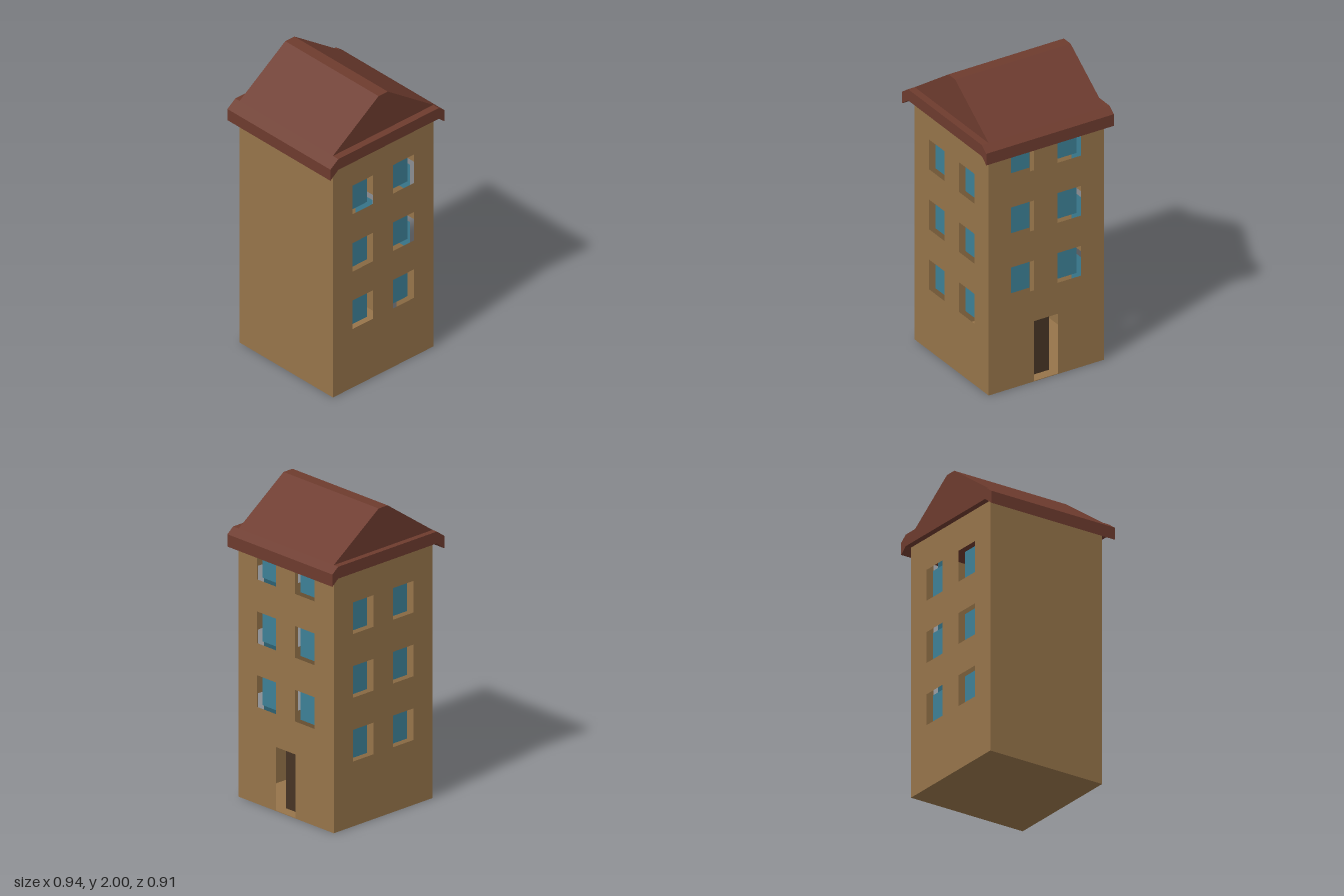
import * as THREE from 'three';

const mat = (name, color) => {
  const m = new THREE.MeshStandardMaterial({ color, side: THREE.DoubleSide });
  m.name = name;
  return m;
};

const polygon = (points) => new THREE.Shape(points.map(([x, y]) => new THREE.Vector2(x, y)));
const rect = (x0, x1, y0, y1) => [[x0, y0], [x1, y0], [x1, y1], [x0, y1]];

export function createModel() {
  const wallMat = mat('ochre wall', 0x96744a);
  const roofMat = mat('red brown roof', 0x6d3b2e);
  const glassMat = mat('blue glass', 0x3d8096);
  const doorMat = mat('dark door', 0x463424);
  const house = new THREE.Group();
  house.name = 'house';

  const X0 = -0.405, X1 = 0.42, Z0 = -0.42, Z1 = 0.405, TOP = 1.66;

  function add(parent, name, geometry, material) {
    const mesh = new THREE.Mesh(geometry, material);
    mesh.name = name;
    parent.add(mesh);
    return mesh;
  }

  // One thin wall with openings; each opening has a narrower panel set behind it
  function wall(name, u0, u1, openings) {
    const group = new THREE.Group();
    group.name = name;
    const shape = polygon(rect(u0, u1, 0, TOP));
    for (const o of openings) {
      shape.holes.push(polygon(rect(o.u0, o.u1, o.y0, o.y1)));
      const w = o.u1 - o.u0 - 2 * o.inset, h = o.y1 - o.y0 - 0.01;
      const panel = add(group, o.door ? 'door' : 'windowPane',
        new THREE.PlaneGeometry(w, h), o.door ? doorMat : glassMat);
      panel.position.set((o.u0 + o.u1) / 2, (o.y0 + o.y1) / 2, o.door ? -0.06 : -0.035);
    }
    add(group, name + 'Panel', new THREE.ShapeGeometry(shape), wallMat);
    house.add(group);
    return group;
  }

  // Grid of two columns by three rows of windows
  function windows(columns, firstRow, inset) {
    const list = [];
    for (let row = 0; row < 3; row++) {
      const y0 = firstRow + row * 0.413;
      for (const [u0, u1] of columns) {
        list.push({ u0, u1, y0, y1: Math.min(y0 + 0.205, TOP - 0.005), inset });
      }
    }
    return list;
  }

  const columns = [[-0.245, -0.075], [0.09, 0.26]];
  const mirrored = columns.map(([a, b]) => [-b, -a]);

  wall('frontWall', X0, X1, windows(columns, 0.42, 0.019)).position.z = Z1;

  const back = wall('backWall', -X1, -X0, windows(mirrored, 0.42, 0.019));
  back.rotation.y = Math.PI;
  back.position.z = Z0;

  // Entrance side: door at ground level, windows above
  const door = { u0: -0.08, u1: 0.09, y0: 0.004, y1: 0.415, inset: 0.025, door: true };
  const sideColumns = [[-0.245, -0.08], [0.085, 0.255]];
  const entrance = wall('entranceWall', -Z1, -Z0, [door, ...windows(sideColumns, 0.628, 0.01)]);
  entrance.rotation.y = Math.PI / 2;
  entrance.position.x = X1;

  const blank = wall('blankWall', Z0, Z1, []);
  blank.rotation.y = -Math.PI / 2;
  blank.position.x = X0;

  // Floor
  const floor = add(house, 'floor', new THREE.PlaneGeometry(X1 - X0, Z1 - Z0), wallMat);
  floor.rotation.x = Math.PI / 2;
  floor.position.set((X0 + X1) / 2, 0, (Z0 + Z1) / 2);

  // Roof: overhanging eaves band below a gabled top with a narrow flat ridge
  function extrudeAlongZ(name, points, z0, z1) {
    const geometry = new THREE.ExtrudeGeometry(polygon(points), { depth: z1 - z0, bevelEnabled: false });
    geometry.translate(0, 0, z0);
    add(house, name, geometry, roofMat);
  }
  extrudeAlongZ('roofEaves', [
    [-0.47, 1.61], [X0, TOP], [X1, TOP], [0.468, 1.62],
    [0.468, 1.70], [X1, 1.737], [X0, 1.737], [-0.47, 1.69],
  ], -0.458, 0.453);
  extrudeAlongZ('roofGable', [[X0, 1.737], [X1, 1.737], [0.045, 2], [-0.03, 2]], Z0, Z1);

  return house;
}
